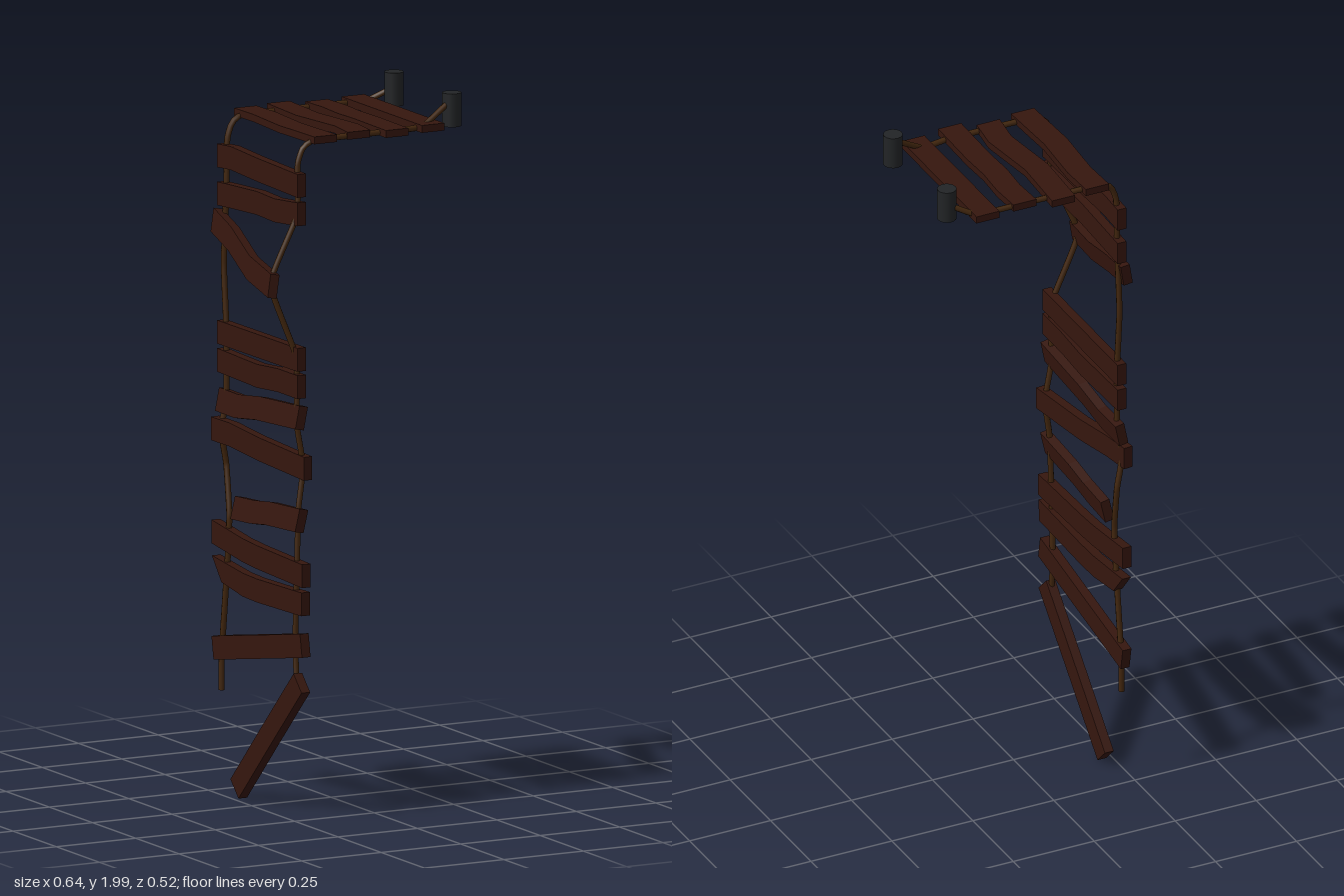
import * as THREE from 'three';

const wood = new THREE.MeshStandardMaterial({ color: 0x35160e, flatShading: true });
const ropeMat = new THREE.MeshStandardMaterial({ color: 0x43270e });
const postMat = new THREE.MeshStandardMaterial({ color: 0x222426 });
const UP = [0, 1, 0], ACROSS = [1, 0, 0];

// Warped board: a box whose cross-sections follow centre points listed from -z to +z
function plank(name, points, side, width, thick, endSlant = 0) {
  const pts = points.map(p => new THREE.Vector3(...p));
  const n = pts.length - 1;
  const along = pts[n].clone().sub(pts[0]).normalize();
  const w = new THREE.Vector3(...side).normalize();
  const t = along.cross(w).normalize();
  const geo = new THREE.BoxGeometry(width, thick, 1, 1, 1, n);
  const pos = geo.attributes.position;
  for (let i = 0; i < pos.count; i++) {
    const a = pos.getX(i), b = pos.getY(i);
    const k = Math.round((pos.getZ(i) + 0.5) * n);
    const v = pts[k].clone().addScaledVector(w, a).addScaledVector(t, b);
    if (k === 0) v.z += endSlant * a;
    pos.setXYZ(i, v.x, v.y, v.z);
  }
  geo.computeVertexNormals();
  const mesh = new THREE.Mesh(geo, wood);
  mesh.name = name;
  return mesh;
}

function rope(name, points) {
  const curve = new THREE.CatmullRomCurve3(points.map(p => new THREE.Vector3(...p)), false, 'catmullrom', 0.2);
  const group = new THREE.Group();
  group.name = name;
  group.add(new THREE.Mesh(new THREE.TubeGeometry(curve, 120, 0.0085, 8), ropeMat));
  // closed ends
  for (const u of [0, 1]) {
    const cap = new THREE.Mesh(new THREE.CircleGeometry(0.0085, 8), ropeMat);
    cap.position.copy(curve.getPoint(u));
    cap.lookAt(cap.position.clone().addScaledVector(curve.getTangent(u), u ? 1 : -1));
    group.add(cap);
  }
  return group;
}

export function createModel() {
  const model = new THREE.Group();
  model.name = 'brokenRopeBridge';

  // Deck boards still lying flat: [x, z] centre lines
  const deck = [
    [[-0.142, -0.235], [-0.138, -0.13], [-0.15, 0.04], [-0.142, 0.23]],
    [[-0.03, -0.25], [-0.04, -0.063], [-0.018, 0.12], [-0.03, 0.217]],
    [[0.075, -0.222], [0.08, -0.13], [0.074, -0.035], [0.078, 0.06], [0.075, 0.245]],
    [[0.196, -0.235], [0.196, 0.23]],
  ];
  deck.forEach((line, i) => model.add(
    plank('deckPlank' + (i + 1), line.map(([x, z]) => [x, 1.919, z]), ACROSS, 0.071, 0.021)));

  // Boards hanging down: [x, y, z] centre lines, side direction, slant of the -z end
  const X = -0.22;
  const hanging = [
    [[[X, 1.802, -0.23], [X, 1.808, -0.15], [X, 1.802, 0], [X, 1.797, 0.235]]],
    [[[X, 1.695, -0.23], [X, 1.7, -0.15], [X, 1.708, 0], [X, 1.705, 0.1], [X, 1.717, 0.235]]],
    [[[-0.235, 1.62, -0.23], [-0.252, 1.592, -0.1], [-0.28, 1.54, 0.06], [-0.3, 1.518, 0.22]], [0.2, 1, -0.1]],
    [[[X, 1.305, -0.23], [X, 1.307, 0.235]]],
    [[[X, 1.226, -0.23], [X, 1.221, 0], [X, 1.23, 0.12], [X, 1.23, 0.235]]],
    [[[X, 1.113, -0.23], [X, 1.112, -0.12], [X, 1.128, 0], [X, 1.142, 0.235]], [0.2, 1, 0]],
    [[[-0.24, 1.035, -0.23], [-0.23, 1.032, -0.14], [-0.217, 1.015, 0], [-0.2, 0.998, 0.235]]],
    [[[X, 0.823, -0.14], [X, 0.83, -0.03], [X, 0.842, 0.06], [X, 0.852, 0.235]], [0.2, 1, 0.06]],
    [[[X, 0.737, -0.262], [X, 0.715, -0.08], [X, 0.71, 0], [X, 0.702, 0.262]]],
    [[[X, 0.637, -0.232], [X, 0.618, -0.08], [X, 0.616, 0], [X, 0.622, 0.258]], [0, 1, 0.02], -0.85],
    [[[X, 0.41, -0.256], [X, 0.505, 0.256]], [0, 0.98, -0.18]],
    [[[X, 0.035, -0.129], [X, 0.21, 0.047], [X, 0.396, 0.236]], [0, 1, -1]],
  ];
  hanging.forEach(([line, side = UP, slant = 0], i) => model.add(
    plank('hangingPlank' + (i + 1), line, side, 0.066, 0.027, slant)));

  // Ropes from the posts, along the deck, over the edge and down
  model.add(rope('rightRope', [
    [0.285, 1.95, -0.178], [0.22, 1.918, -0.201], [0.16, 1.917, -0.207], [-0.16, 1.915, -0.207],
    [-0.2, 1.895, -0.205], [-0.216, 1.85, -0.203], [X, 1.71, -0.2], [X, 1.5, -0.215],
    [X, 1.315, -0.2], [X, 1.12, -0.2], [-0.235, 1.035, -0.204], [-0.215, 0.935, -0.21],
    [X, 0.8, -0.183], [X, 0.695, -0.19], [X, 0.495, -0.215], [-0.219, 0.4, -0.229], [-0.219, 0.295, -0.23],
  ]));
  model.add(rope('leftRope', [
    [0.285, 1.978, 0.168], [0.185, 1.918, 0.19], [0.1, 1.917, 0.203], [-0.16, 1.915, 0.204],
    [-0.2, 1.895, 0.204], [-0.216, 1.85, 0.204], [-0.222, 1.71, 0.212], [-0.295, 1.52, 0.192],
    [-0.222, 1.31, 0.207], [X, 1.12, 0.207], [-0.2, 1.0, 0.207], [-0.215, 0.88, 0.207],
    [X, 0.7, 0.207], [X, 0.5, 0.198], [X, 0.39, 0.207],
  ]));

  // Anchor posts
  for (const s of [-1, 1]) {
    const post = new THREE.Mesh(new THREE.CylinderGeometry(0.027, 0.027, 0.094, 16), postMat);
    post.position.set(0.289, 1.953, s * 0.167);
    post.name = s > 0 ? 'leftPost' : 'rightPost';
    model.add(post);
  }
  return model;
}
